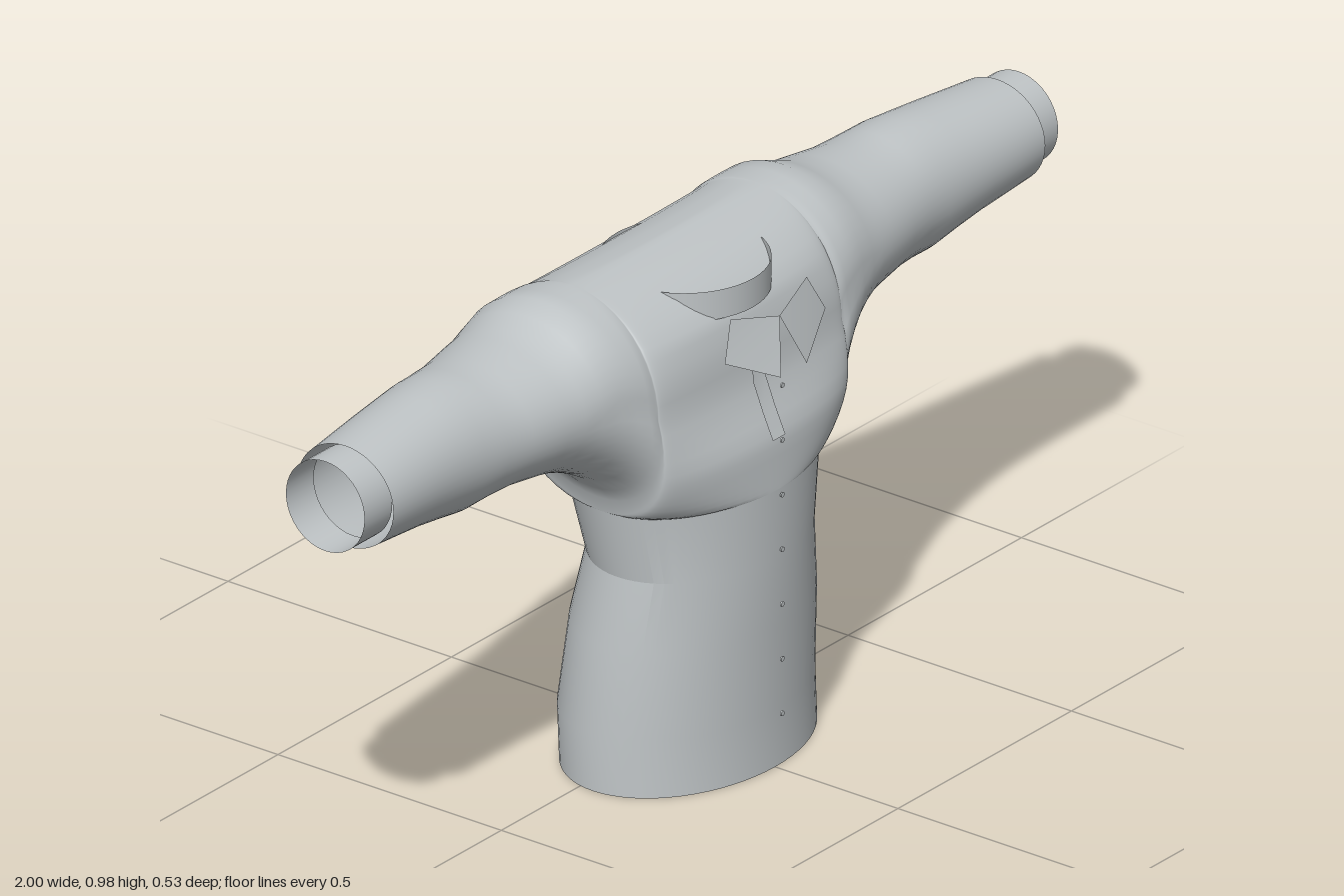
import * as THREE from 'three';
import { mergeVertices, toCreasedNormals } from 'three/addons/utils/BufferGeometryUtils.js';

const cloth = new THREE.MeshStandardMaterial({ color: 0xbfc4c6, side: THREE.DoubleSide });
cloth.name = 'grey cloth';

const mix = THREE.MathUtils.lerp;

// Piecewise linear lookup in a list of [key, value] pairs
function at(keys, k) {
  if (k <= keys[0][0]) return keys[0][1];
  for (let i = 1; i < keys.length; i++) {
    const [k0, v0] = keys[i - 1], [k1, v1] = keys[i];
    if (k <= k1) return mix(v0, v1, (k - k0) / (k1 - k0));
  }
  return keys[keys.length - 1][1];
}

// Surface through points fn(i, j); coincident points are welded
function grid(cols, rows, fn) {
  const pos = [], index = [];
  for (let j = 0; j <= rows; j++) for (let i = 0; i <= cols; i++) pos.push(...fn(i, j));
  for (let j = 0; j < rows; j++) for (let i = 0; i < cols; i++) {
    const a = j * (cols + 1) + i, b = a + 1, c = a + cols + 1, d = c + 1;
    index.push(a, b, d, a, d, c);
  }
  let geo = new THREE.BufferGeometry();
  geo.setAttribute('position', new THREE.Float32BufferAttribute(pos, 3));
  geo.setIndex(index);
  geo = mergeVertices(geo, 1e-5);
  geo.computeVertexNormals();
  return geo;
}

// Waist seam: the ellipse where the torso meets the chest
const SEAM = { y: 0.55, rx: 0.265, front: 0.235, back: -0.15 };

// Centre line of the chest and of the back: [y, z]
const chest = [[0.55, 0.235], [0.65, 0.228], [0.70, 0.205], [0.75, 0.185], [0.83, 0.175],
  [0.89, 0.155], [0.93, 0.11], [0.955, 0.065], [0.968, 0.025], [0.975, -0.02]];
const back = [[0.55, -0.15], [0.65, -0.21], [0.71, -0.262], [0.735, -0.268], [0.76, -0.262],
  [0.84, -0.21], [0.92, -0.16], [0.95, -0.11], [0.967, -0.065], [0.975, -0.02]];

// Sleeve outline by distance from the centre: [x, value]
const under = [[0.265, 0.55], [0.272, 0.58], [0.287, 0.605], [0.315, 0.632], [0.35, 0.652], [0.4, 0.669],
  [0.47, 0.681], [0.55, 0.69], [0.67, 0.685], [0.8, 0.708], [0.94, 0.725]];
const over = [[0.35, 0.975], [0.43, 0.945], [0.55, 0.932], [0.67, 0.94], [0.8, 0.932], [0.94, 0.922]];
const sleeveFront = [[0.27, 0.168], [0.4, 0.142], [0.5, 0.122], [0.6, 0.104], [0.7, 0.098], [0.94, 0.1]];
const sleeveBack = [[0.27, -0.222], [0.5, -0.18], [0.6, -0.16], [0.94, -0.115]];
const seamMid = (SEAM.front + SEAM.back) / 2;

function upperBody() {
  const outer = [0.272, 0.287, 0.315, 0.35, 0.39, 0.43, 0.47, 0.55, 0.61, 0.67, 0.735, 0.8, 0.87, 0.94];
  const xs = outer.map(x => -x).reverse();
  for (let k = -16; k <= 16; k++) xs.push(SEAM.rx * Math.sin(k * Math.PI / 32));
  xs.push(...outer);
  const half = 24;
  return grid(xs.length - 1, half * 2, (i, j) => {
    const x = xs[i], ax = Math.abs(x);
    const isFront = j <= half;
    const a = Math.PI * (isFront ? j : 2 * half - j) / half;
    const rise = (1 - Math.cos(a)) / 2;
    const y = mix(at(under, ax), at(over, ax), rise);
    const zf = at(sleeveFront, ax), zb = at(sleeveBack, ax);
    const mid = (zf + zb) / 2;
    const low = at([[0.27, seamMid], [0.42, mid]], ax);
    const z = mix(low, mid, Math.min(1, rise * 2))
      + (isFront ? 1 : -1) * (zf - zb) / 2 * Math.sin(a);
    const w = Math.sqrt(Math.max(0, 1 - (ax / SEAM.rx) ** 2));
    return [x, y, mix(z, at(isFront ? chest : back, y), w)];
  });
}

function torso() {
  // [y, half width, front z, back z]
  const rings = [[0, 0.275, 0.225, -0.165], [0.11, 0.275, 0.221, -0.17], [0.28, 0.26, 0.232, -0.15],
    [0.415, 0.239, 0.234, -0.12], [SEAM.y, SEAM.rx, SEAM.front, SEAM.back]];
  const geo = grid(64, rings.length - 1, (i, j) => {
    const [y, rx, f, b] = rings[j], t = (i % 64) * Math.PI / 32;
    return [rx * Math.sin(t), y, (f + b) / 2 + (f - b) / 2 * Math.cos(t)];
  });
  return toCreasedNormals(geo, 0.2);
}

export function createModel() {
  const model = new THREE.Group();
  model.name = 'shirt';
  const add = (name, geo) => {
    const mesh = new THREE.Mesh(geo, cloth);
    mesh.name = name;
    model.add(mesh);
    return mesh;
  };

  add('upperBodyAndSleeves', upperBody());
  add('torso', torso());

  // Collar band, mostly sunk into the shoulders
  const band = add('collarBand', new THREE.CylinderGeometry(1, 1, 0.057, 48, 1, true));
  band.scale.set(0.155, 1, 0.152);
  band.position.set(0, 0.917, 0.023);

  for (const s of [1, -1]) {
    const side = s > 0 ? 'left' : 'right';

    // Cuff
    const cuff = add(side + 'Cuff', new THREE.CylinderGeometry(0.088, 0.088, 0.08, 40, 1, true));
    cuff.rotation.z = Math.PI / 2;
    cuff.position.set(s * 0.96, 0.827, -0.006);

    // Collar flap
    const p = [[0, 0.89, 0.235], [0.037, 0.792, 0.267], [0.145, 0.847, 0.225], [0.11, 0.917, 0.21]];
    const order = s > 0 ? [0, 1, 3, 2] : [3, 2, 0, 1];
    add(side + 'CollarFlap', grid(1, 1, (i, j) => {
      const [x, y, z] = p[[order[0], order[2], order[1], order[3]][i + 2 * (1 - j)]];
      return [s * x, y, z];
    }));
  }

  // Placket strip following the chest
  const rows = [0.65, 0.70, 0.75, 0.81];
  add('placket', grid(1, 3, (i, j) =>
    [(i - 0.5) * 0.036, rows[j], at(chest, rows[j]) + 0.006]));

  // Buttons
  for (let k = 0; k < 7; k++) {
    const button = add('button', new THREE.CylinderGeometry(0.005, 0.005, 0.003, 10));
    button.rotation.x = Math.PI / 2;
    button.position.set(0, 0.11 + k * 0.1075, 0.241);
  }
  return model;
}
